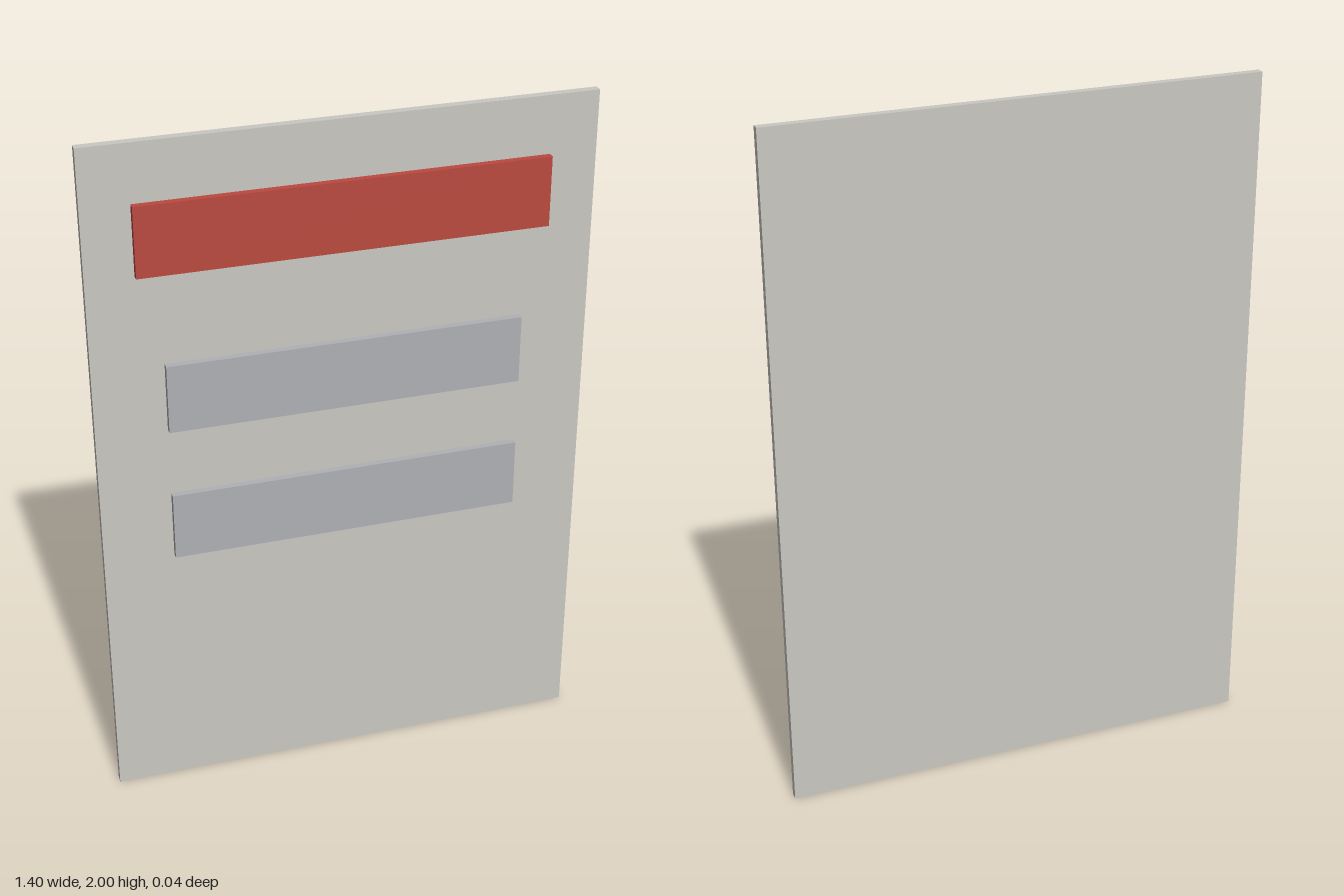
import * as THREE from 'three';

const material = (name, color) => {
  const m = new THREE.MeshStandardMaterial({ color });
  m.name = name;
  return m;
};

export function createModel() {
  const group = new THREE.Group();
  group.name = 'signBoard';
  const boardGrey = material('warm grey', 0xcac8c2);
  const red = material('red', 0xbb4a40);
  const coolGrey = material('cool grey', 0xafb1b4);

  // Box centred on x, given its height range and depth range
  const slab = (name, width, y0, y1, z0, z1, mat) => {
    const mesh = new THREE.Mesh(new THREE.BoxGeometry(width, y1 - y0, z1 - z0), mat);
    mesh.position.set(0, (y0 + y1) / 2, (z0 + z1) / 2);
    mesh.name = name;
    group.add(mesh);
  };

  const back = -0.0215, face = 0.002, front = 0.0215;

  // Backing board
  slab('board', 1.396, 0, 2, back, face, boardGrey);

  // Raised header strip and two plain strips below it
  slab('headerStrip', 1.132, 1.635, 1.835, face, front, red);
  [['upperStrip', 1.17], ['lowerStrip', 0.77]].forEach(([name, y]) =>
    slab(name, 1.0, y, y + 0.2, face, front, coolGrey));

  return group;
}
